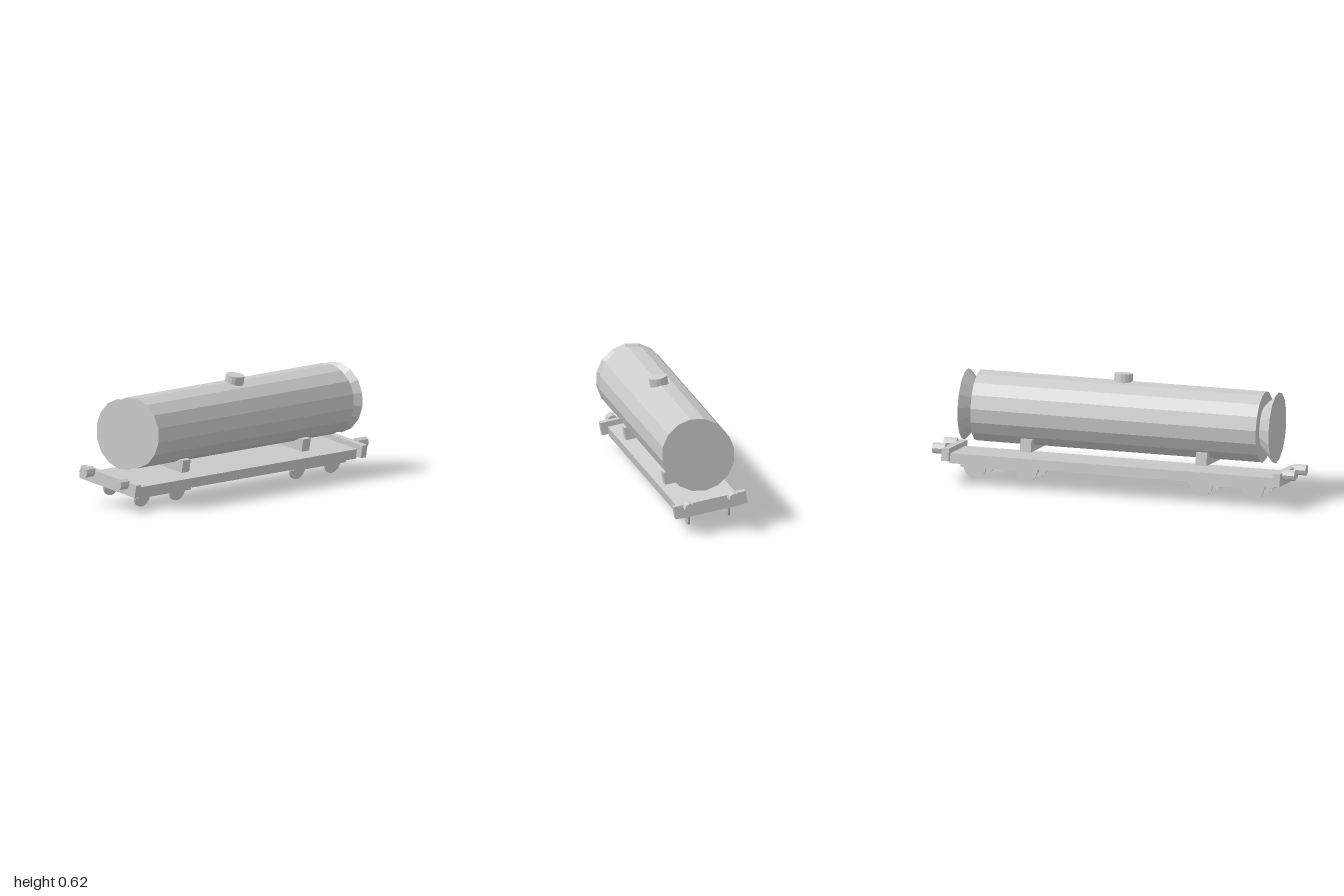
import * as THREE from 'three';

const grey = new THREE.MeshStandardMaterial({ color: 0xcccccc, flatShading: true });
grey.name = 'plain light grey';

export function createModel() {
  const model = new THREE.Group();
  model.name = 'tankWagon';

  // Local origin lies on the tank axis; the wagon is turned and leans to one side
  const wagon = new THREE.Group();
  wagon.name = 'wagon';
  wagon.position.set(0.031, 0.393, 0);
  wagon.rotation.set(0, THREE.MathUtils.degToRad(6.15), THREE.MathUtils.degToRad(-9.9), 'YXZ');
  model.add(wagon);

  const add = (name, geometry, x = 0, y = 0, z = 0) => {
    const mesh = new THREE.Mesh(geometry, grey);
    mesh.name = name;
    mesh.position.set(x, y, z);
    wagon.add(mesh);
  };
  const box = (w, h, d) => new THREE.BoxGeometry(w, h, d);
  const cylinderZ = (rFront, rBack, length, sides) =>
    new THREE.CylinderGeometry(rFront, rBack, length, sides).rotateX(Math.PI / 2);

  // Tank, hatch and deck
  add('tank', cylinderZ(0.19, 0.19, 1.56, 16));
  add('hatch', new THREE.CylinderGeometry(0.05, 0.05, 0.07, 16), 0.001, 0.192, 0);
  add('deck', box(0.325, 0.053, 1.78), 0, -0.2735, 0);

  // Shallow cradle cut to the curve of the tank, clear of the deck
  const cradle = new THREE.Shape();
  const lip = Math.asin(0.144 / 0.19);
  cradle.moveTo(-0.15, -0.212);
  cradle.lineTo(0.15, -0.212);
  cradle.lineTo(0.15, -0.144);
  cradle.absarc(0, 0, 0.19, -lip, -Math.PI + lip, true);
  cradle.lineTo(-0.15, -0.144);
  const cradleGeometry = new THREE.ExtrudeGeometry(cradle, {
    depth: 0.06, bevelEnabled: false, curveSegments: 6,
  }).translate(0, 0, -0.03);

  const wheel = new THREE.CylinderGeometry(0.06, 0.06, 0.012, 20).rotateZ(Math.PI / 2);

  for (const end of [1, -1]) {
    // Flared tank ends, wide side outwards
    const [front, back] = end > 0 ? [0.19, 0.115] : [0.115, 0.19];
    add('tankEnd', cylinderZ(front, back, 0.07, 16), 0, 0, end * 0.815);
    add('cradle', cradleGeometry, 0, 0, end * 0.48);
    add('bufferBeam', box(0.396, 0.068, 0.04), 0, -0.253, end * 0.905);

    for (const side of [1, -1]) {
      add('buffer', cylinderZ(0.029, 0.029, 0.07, 8), side * 0.122, -0.23, end * 0.955);
      // Bogie bars sit just outside the wheels
      add('bogieBar', box(0.028, 0.018, 0.42), side * 0.132, -0.308, end * 0.62);
      for (const z of [0.48, 0.76]) add('wheel', wheel, side * 0.11, -0.317, end * z);
    }
  }
  return model;
}
